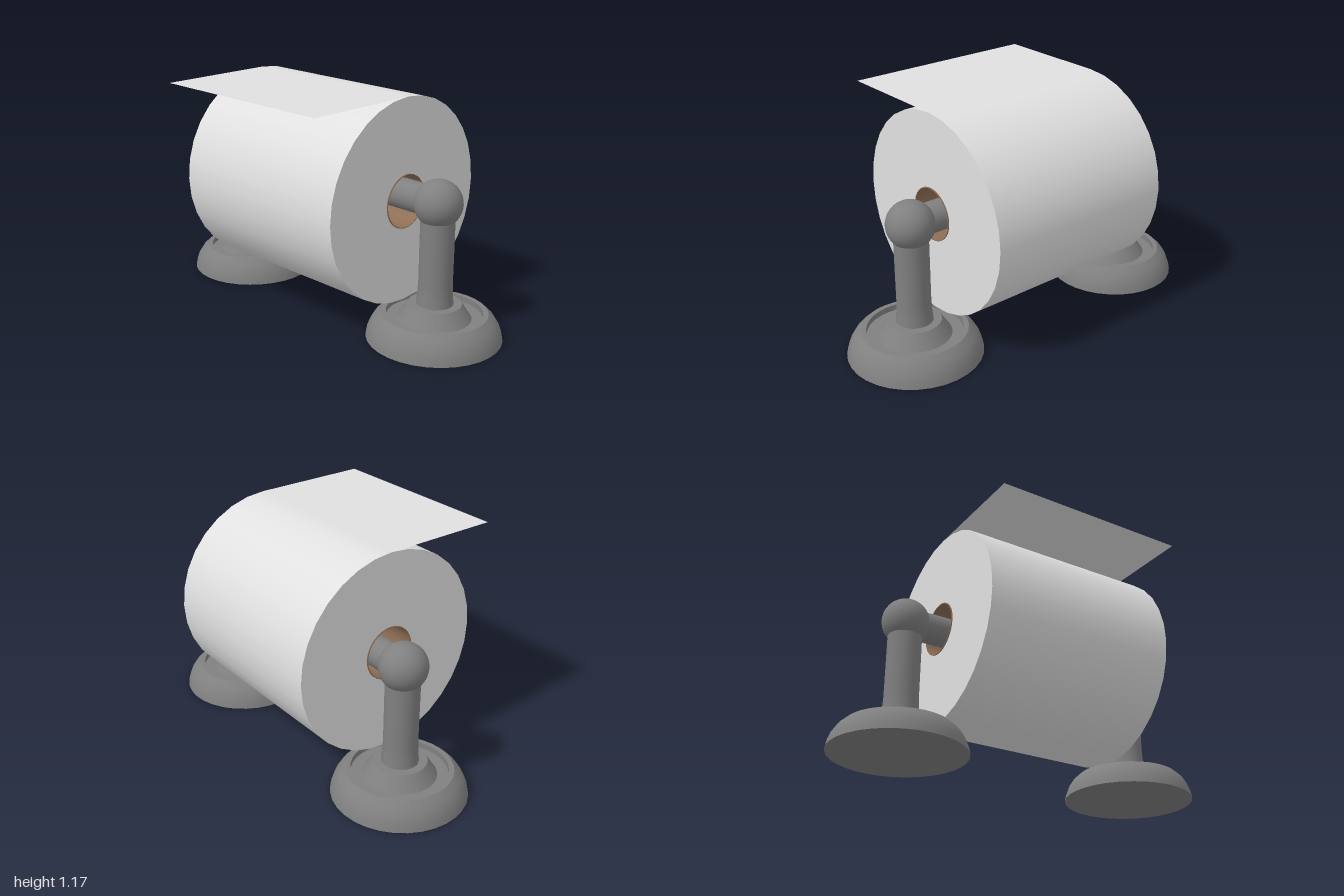
import * as THREE from 'three';
import { mergeGeometries } from 'three/addons/utils/BufferGeometryUtils.js';

// Lathe built from several profile runs: smooth inside a run, sharp between runs
function turned(runs, sides) {
  return mergeGeometries(runs.map(run =>
    new THREE.LatheGeometry(run.map(([r, y]) => new THREE.Vector2(r, y)), sides)));
}

export function createModel() {
  const model = new THREE.Group();
  const metal = new THREE.MeshStandardMaterial({ name: 'grey metal', color: 0x808080 });
  const paper = new THREE.MeshStandardMaterial({ name: 'white paper', color: 0xe0e0e0, side: THREE.DoubleSide });
  const card = new THREE.MeshStandardMaterial({ name: 'brown cardboard', color: 0x8f6f55 });

  function add(parent, name, geometry, material, x = 0, y = 0, z = 0) {
    const mesh = new THREE.Mesh(geometry, material);
    mesh.name = name;
    mesh.position.set(x, y, z);
    parent.add(mesh);
    return mesh;
  }

  const postX = 0.095, postZ = 0.667, barY = 0.68;
  const rollX = 0.045, rollY = 0.665, rollR = 0.507, half = 0.508;

  // Shared stand geometry: domed foot with a groove, collar, flared post, ball
  const foot = turned([
    [[0, 0], [0.333, 0]],
    [[0.333, 0], [0.327, 0.03], [0.314, 0.065], [0.292, 0.1], [0.26, 0.13]],
    [[0.26, 0.13], [0.235, 0.13]],
    [[0.235, 0.13], [0.235, 0.1]],
    [[0.235, 0.1], [0.18, 0.1]],
  ], 32);
  const collar = turned([
    [[0.18, 0.1], [0.16, 0.13], [0.131, 0.175]],
    [[0.131, 0.175], [0.08, 0.175]],
  ], 32);
  const post = turned([[[0.091, 0.17], [0.086, 0.22], [0.083, 0.28], [0.083, 0.65]]], 32);
  const ball = new THREE.SphereGeometry(0.117, 32, 20);

  for (const [name, side] of [['frontStand', 1], ['backStand', -1]]) {
    const stand = new THREE.Group();
    stand.name = name;
    stand.position.set(postX, 0, side * postZ);
    add(stand, 'foot', foot, metal);
    add(stand, 'collar', collar, metal);
    add(stand, 'post', post, metal);
    add(stand, 'ball', ball, metal, 0, barY);
    model.add(stand);
  }

  // Bar joining the two balls
  add(model, 'bar', new THREE.CylinderGeometry(0.075, 0.075, postZ * 2, 32, 1, true).rotateX(Math.PI / 2),
    metal, postX, barY);

  // Paper roll with open centre
  add(model, 'paperRoll', turned([
    [[0.133, -half], [rollR, -half]],
    [[rollR, -half], [rollR, half]],
    [[rollR, half], [0.133, half]],
  ], 32).rotateX(Math.PI / 2), paper, rollX, rollY);

  // Thin cardboard tube, standing slightly proud of the paper
  const tubeHalf = half + 0.005;
  add(model, 'cardboardTube', turned([
    [[0.13, -tubeHalf], [0.134, -tubeHalf]],
    [[0.134, -tubeHalf], [0.134, tubeHalf]],
    [[0.134, tubeHalf], [0.13, tubeHalf]],
    [[0.13, tubeHalf], [0.13, -tubeHalf]],
  ], 32).rotateX(Math.PI / 2), card, rollX, rollY);

  // Loose sheet running off the top of the roll
  add(model, 'looseSheet', new THREE.PlaneGeometry(0.6, half * 2).rotateX(-Math.PI / 2),
    paper, rollX - 0.3, rollY + rollR);

  return model;
}
